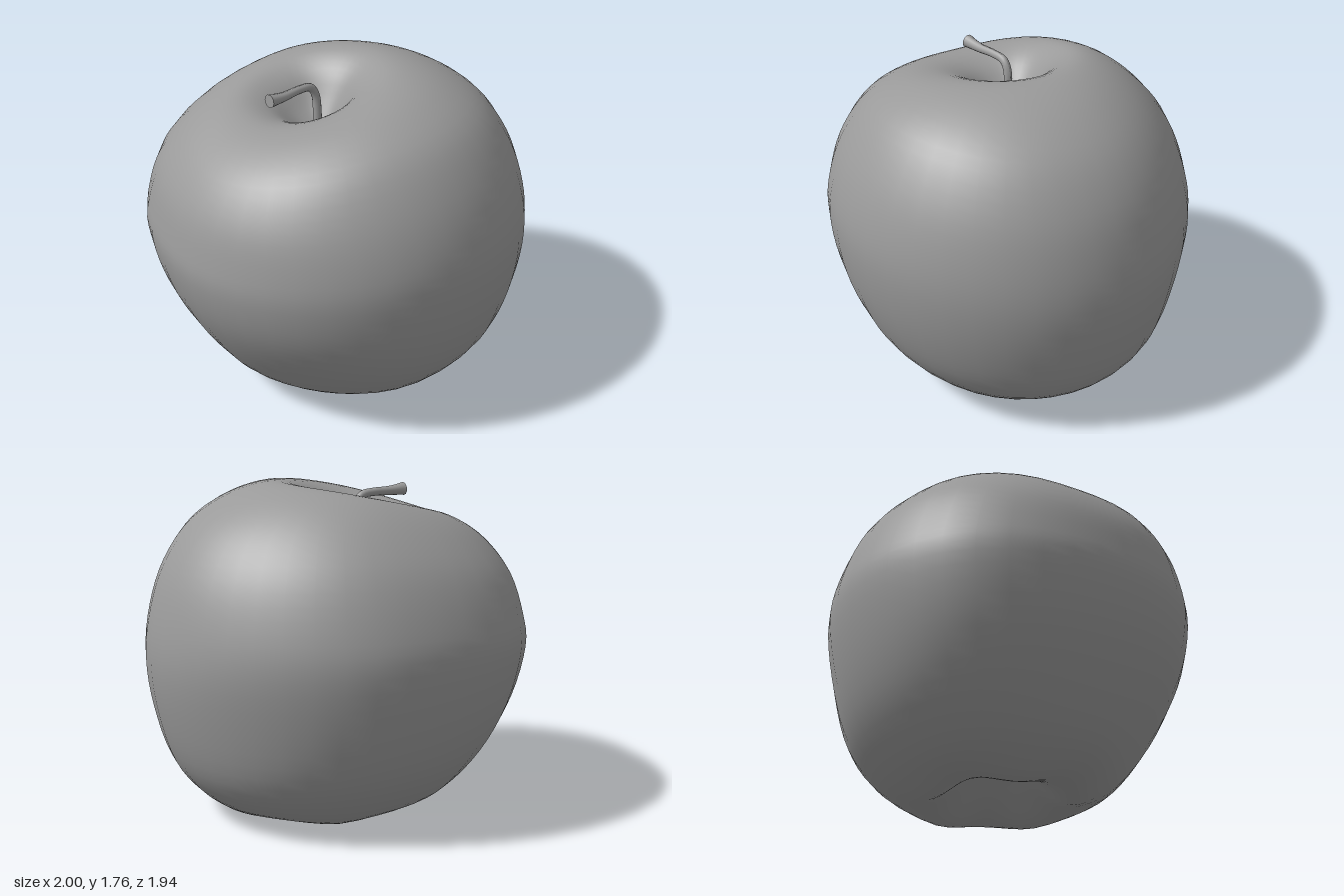
import * as THREE from 'three';
import { mergeVertices } from 'three/addons/utils/BufferGeometryUtils.js';

const material = new THREE.MeshStandardMaterial({ color: 0x9a9a9a });

const spline = (points) => new THREE.SplineCurve(points.map(([d, y]) => new THREE.Vector2(d, y)));

// Contours on four sides, running from the stem cavity down to the base dimple
const right = spline([[-0.11, 1.38], [-0.05, 1.42], [0.02, 1.54], [0.12, 1.68], [0.28, 1.755], [0.51, 1.7],
  [0.74, 1.55], [0.89, 1.34], [0.97, 1.1], [1, 0.85], [0.965, 0.58], [0.88, 0.31], [0.74, 0.13],
  [0.56, 0.025], [0.42, 0.02], [0.27, 0.09], [0.12, 0.19], [0.02, 0.22]]);
const front = spline([[-0.05, 1.38], [0.01, 1.42], [0.07, 1.53], [0.17, 1.64], [0.32, 1.7], [0.5, 1.69],
  [0.7, 1.59], [0.85, 1.39], [0.94, 1.16], [0.965, 0.93], [0.92, 0.63], [0.81, 0.35], [0.63, 0.125],
  [0.46, 0.03], [0.33, 0.025], [0.2, 0.1], [0.09, 0.19], [0, 0.22]]);
const left = spline([[-0.11, 1.38], [-0.17, 1.41], [-0.24, 1.48], [-0.35, 1.555], [-0.49, 1.585], [-0.65, 1.54],
  [-0.81, 1.43], [-0.93, 1.26], [-0.985, 1.07], [-1, 0.9], [-0.94, 0.65], [-0.81, 0.39], [-0.64, 0.16],
  [-0.45, 0.03], [-0.31, 0.025], [-0.18, 0.1], [-0.07, 0.19], [0.02, 0.22]]);
const back = spline([[-0.05, 1.38], [-0.11, 1.42], [-0.19, 1.5], [-0.29, 1.625], [-0.41, 1.69], [-0.54, 1.66],
  [-0.69, 1.55], [-0.84, 1.37], [-0.94, 1.13], [-0.97, 0.92], [-0.91, 0.6], [-0.8, 0.33], [-0.62, 0.12],
  [-0.45, 0.025], [-0.34, 0.025], [-0.24, 0.09], [-0.11, 0.19], [0, 0.22]]);

// Skin: rings blended around the four contours, with an uneven bulge and soft lobes below
function fruitGeometry(rows = 68, sides = 40) {
  const positions = [], indices = [];
  for (let i = 0; i <= rows; i++) {
    const t = i / rows;
    const [r, f, l, b] = [right, front, left, back].map((c) => c.getPoint(t));
    const cx = (r.x + l.x) / 2, rx = (r.x - l.x) / 2;
    const cz = (f.x + b.x) / 2, rz = (f.x - b.x) / 2;
    const lobes = 0.018 * Math.exp(-(((t - 0.8) / 0.06) ** 2));
    const lower = THREE.MathUtils.smoothstep(t, 0.55, 0.7);
    for (let j = 0; j < sides; j++) {
      const a = (j / sides) * Math.PI * 2, c = Math.cos(a), s = Math.sin(a);
      // Diagonal swelling: full at the back right, slimmer on its two neighbours
      const backSwell = c < 0 ? 0.06 : -0.03 * (1 - lower);
      const frontSwell = c < 0 ? -0.05 * lower : 0;
      const swell = 1 + Math.sin(2 * a) ** 2 * (s < 0 ? backSwell : frontSwell);
      const y = (r.y + f.y + l.y + b.y) / 4 + (c * (r.y - l.y) + s * (f.y - b.y)) / 2
        + Math.cos(2 * a) * (r.y + l.y - f.y - b.y) / 4;
      positions.push(cx + c * rx * swell, y + lobes * Math.cos(5 * a + 3.93), cz + s * rz * swell);
      if (i < rows) {
        const p = i * sides + j, q = i * sides + ((j + 1) % sides);
        if (i > 0) indices.push(p, q, p + sides);
        if (i < rows - 1) indices.push(q, q + sides, p + sides);
      }
    }
  }
  let geometry = new THREE.BufferGeometry();
  geometry.setAttribute('position', new THREE.Float32BufferAttribute(positions, 3));
  geometry.setIndex(indices);
  geometry = mergeVertices(geometry, 1e-4);
  geometry.computeVertexNormals();
  geometry.computeBoundingBox();
  return geometry.translate(0, -geometry.boundingBox.min.y, 0);
}

// Bent stalk, flaring toward its tip
const stemCurve = new THREE.CatmullRomCurve3([
  [-0.11, 1.35, -0.05], [-0.11, 1.5, -0.055], [-0.118, 1.63, -0.06], [-0.15, 1.68, -0.058],
  [-0.22, 1.692, -0.045], [-0.33, 1.692, -0.02], [-0.42, 1.698, -0.005],
].map((p) => new THREE.Vector3(...p)));

function stemGeometry(steps = 36, sides = 12) {
  const geometry = new THREE.TubeGeometry(stemCurve, steps, 0.022, sides);
  const pos = geometry.attributes.position, v = new THREE.Vector3();
  for (let i = 0; i <= steps; i++) {
    const t = i / steps, centre = stemCurve.getPointAt(t);
    const scale = 0.95 + 0.64 * t ** 8 + 0.3 * (1 - t) ** 4;
    for (let j = 0; j <= sides; j++) {
      const k = i * (sides + 1) + j;
      v.fromBufferAttribute(pos, k).sub(centre).multiplyScalar(scale).add(centre);
      pos.setXYZ(k, v.x, v.y, v.z);
    }
  }
  geometry.computeVertexNormals();
  return geometry;
}

export function createModel() {
  const group = new THREE.Group();
  group.name = 'apple';
  const add = (name, geometry) => {
    const mesh = new THREE.Mesh(geometry, material);
    mesh.name = name;
    group.add(mesh);
    return mesh;
  };
  add('fruit', fruitGeometry());
  add('stem', stemGeometry());

  // Flat end of the stalk
  const tip = add('stemTip', new THREE.CircleGeometry(0.035, 12));
  const end = stemCurve.getPointAt(1);
  tip.position.copy(end);
  tip.lookAt(end.add(stemCurve.getTangentAt(1)));
  return group;
}
